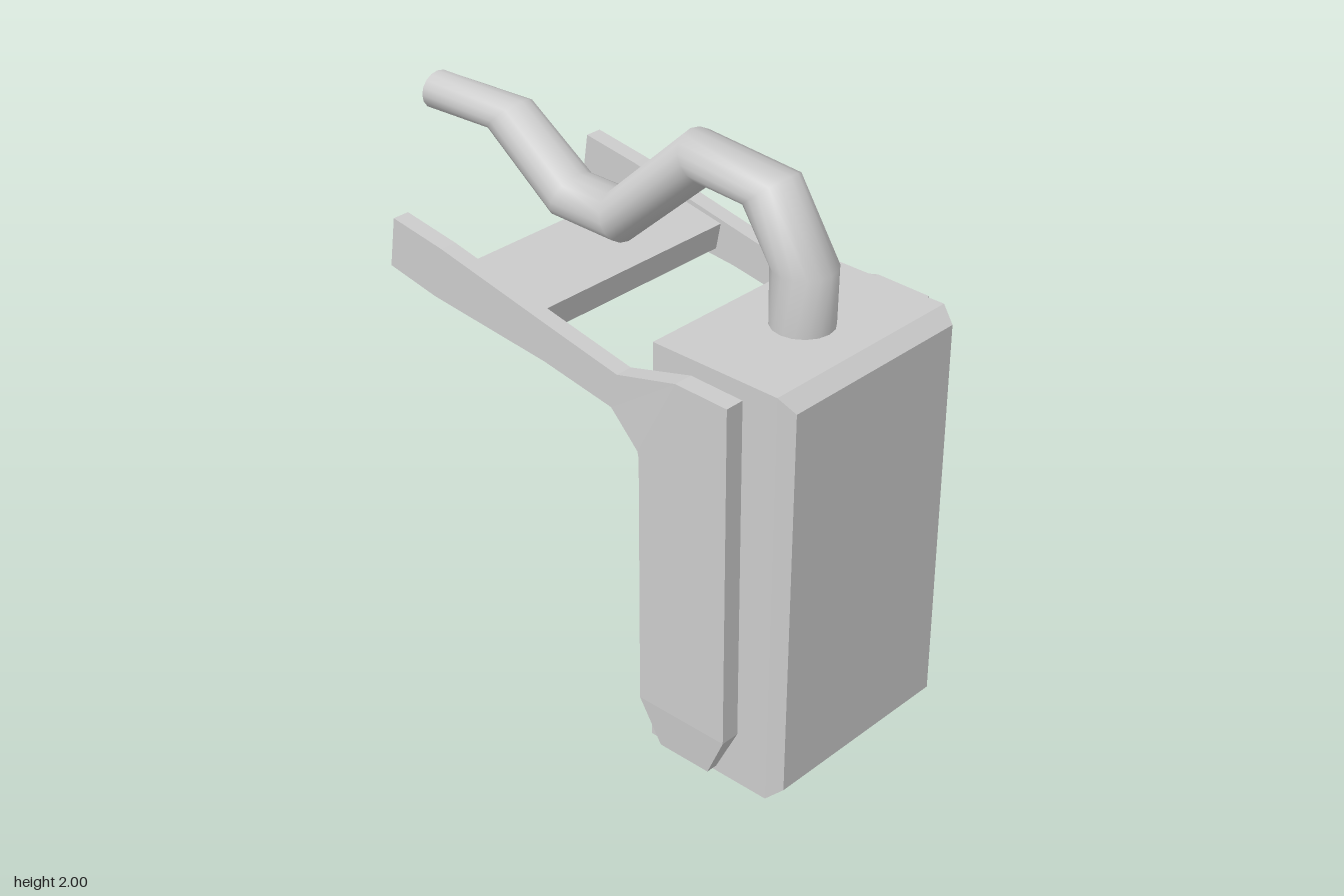
import * as THREE from 'three';
import { mergeVertices } from 'three/addons/utils/BufferGeometryUtils.js';

const material = new THREE.MeshStandardMaterial({ color: 0xcccccc });

// Skins a list of rings (equal point counts) and closes both ends with flat caps
function loft(rings, smooth) {
  const n = rings[0].length;
  const walls = [];
  const caps = [];
  for (let i = 0; i < rings.length - 1; i++) {
    for (let j = 0; j < n; j++) {
      const k = (j + 1) % n;
      const a = rings[i][j], b = rings[i][k], c = rings[i + 1][k], d = rings[i + 1][j];
      walls.push([a, b, c], [a, c, d]);
    }
  }
  const first = rings[0], last = rings[rings.length - 1];
  for (let j = 1; j < n - 1; j++) {
    caps.push([first[0], first[j + 1], first[j]], [last[0], last[j], last[j + 1]]);
  }
  // Turn every face outward, whichever way the rings run
  const volume = [...walls, ...caps].reduce(
    (sum, [a, b, c]) => sum + a.dot(new THREE.Vector3().crossVectors(b, c)), 0);
  const build = (faces) => {
    const points = faces.flatMap(([a, b, c]) => (volume < 0 ? [a, c, b] : [a, b, c]));
    return new THREE.BufferGeometry().setFromPoints(points);
  };
  let side = build(walls);
  if (smooth) side = mergeVertices(side, 1e-5);
  side.computeVertexNormals();
  const ends = build(caps);
  ends.computeVertexNormals();
  return [side, ends];
}

function addLoft(parent, name, rings, smooth = false) {
  const part = new THREE.Group();
  part.name = name;
  loft(rings, smooth).forEach((geometry, i) => {
    const mesh = new THREE.Mesh(geometry, material);
    mesh.name = name + (i ? 'Ends' : 'Sides');
    part.add(mesh);
  });
  parent.add(part);
}

const v = (x, y, z) => new THREE.Vector3(x, y, z);

export function createModel() {
  const model = new THREE.Group();
  model.name = 'model';

  // Upright block, chamfered around its +x face
  const blockRing = (x, y0, y1, z) => [v(x, y0, -z), v(x, y1, -z), v(x, y1, z), v(x, y0, z)];
  addLoft(model, 'block', [
    blockRing(0.41, 0, 1.49, 0.4),
    blockRing(0.905, 0, 1.49, 0.4),
    blockRing(0.96, 0.05, 1.445, 0.375),
  ]);

  // Side plates: arm running into a hanging blade [top x, y, bottom x, y, half thickness]
  const plate = [
    [-0.665, 1.575, -0.69, 1.395, 0.031],
    [-0.44, 1.54, -0.48, 1.355, 0.031],
    [0.04, 1.44, 0.02, 1.305, 0.031],
    [0.335, 1.38, 0.31, 1.255, 0.031],
    [0.58, 1.445, 0.425, 1.145, 0.035],
    [0.785, 1.44, 0.43, 1.12, 0.035],
    [0.795, 0.21, 0.435, 0.21, 0.035],
    [0.72, 0.05, 0.515, 0.05, 0.021],
  ];
  for (const [name, side] of [['frontPlate', 1], ['backPlate', -1]]) {
    const outer = (t) => side * (0.45 + t), inner = (t) => side * (0.45 - t);
    addLoft(model, name, plate.map(([tx, ty, bx, by, t]) => [
      v(tx, ty, outer(t)), v(tx, ty, inner(t)), v(bx, by, inner(t)), v(bx, by, outer(t)),
    ]));
  }

  // Tilted slab joining the two arms
  const slab = new THREE.Mesh(new THREE.BoxGeometry(0.325, 0.1, 0.86), material);
  slab.name = 'crossSlab';
  slab.position.set(-0.21, 1.423, 0);
  slab.rotation.z = -0.19;
  model.add(slab);

  // Bent pipe with mitred joints [upper x, y, lower x, y, half width]
  const pipe = [
    [-0.96, 1.86, -0.96, 1.725, 0.073],
    [-0.55, 1.868, -0.67, 1.745, 0.088],
    [-0.29, 1.69, -0.365, 1.525, 0.097],
    [-0.135, 1.69, -0.07, 1.52, 0.098],
    [0.195, 2.0, 0.29, 1.845, 0.101],
    [0.6, 1.965, 0.455, 1.84, 0.107],
    [0.772, 1.69, 0.56, 1.69, 0.111],
    [0.772, 1.45, 0.56, 1.45, 0.105],
  ];
  const sides = 16;
  addLoft(model, 'pipe', pipe.map(([ux, uy, lx, ly, r]) =>
    Array.from({ length: sides }, (_, j) => {
      const a = (j / sides) * Math.PI * 2, c = Math.cos(a) / 2;
      return v((ux + lx) / 2 + c * (ux - lx), (uy + ly) / 2 + c * (uy - ly), r * Math.sin(a));
    })), true);

  return model;
}
